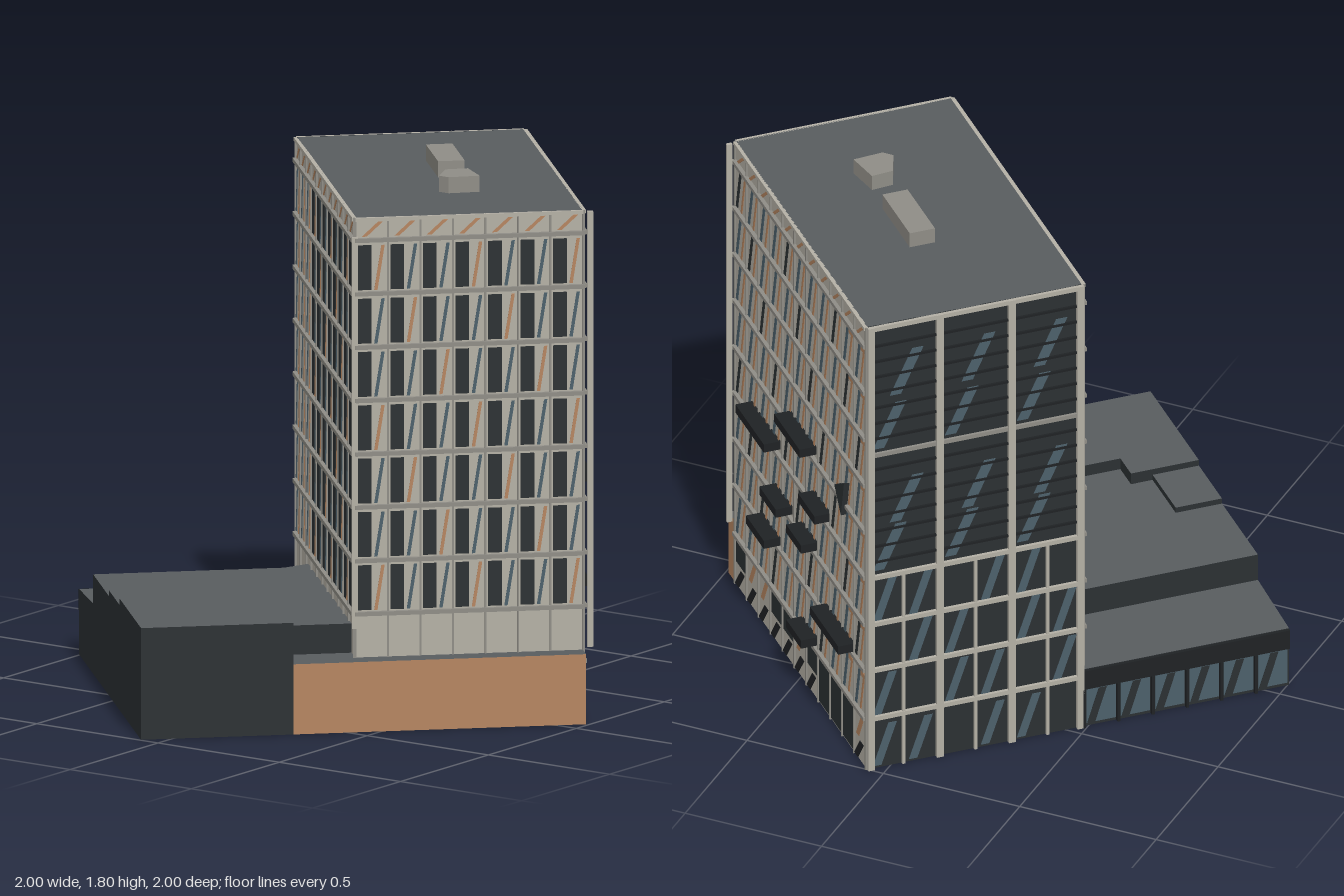
import * as THREE from 'three';
import { mergeGeometries } from 'three/addons/utils/BufferGeometryUtils.js';

const mat = (color) => new THREE.MeshStandardMaterial({ color, side: THREE.DoubleSide });
const M = {
  stone: mat(0xb4b0a5), ledge: mat(0x8f8d86), dark: mat(0x2b3032), black: mat(0x1f2224),
  glass: mat(0x4c606b), wood: mat(0xb58560), roof: mat(0x585c5f),
};
const W = 1.245, D = 0.77, TOP = 1.745;
const FLOORS = [0.39, 0.572, 0.755, 0.937, 1.12, 1.302, 1.485, 1.668];

// Collects pieces by material, one merged mesh for each
class Part {
  constructor(name) { this.group = new THREE.Group(); this.group.name = name; this.bins = {}; }
  add(m, geo) {
    const g = geo.index ? geo.toNonIndexed() : geo;
    (this.bins[m] ??= []).push(g);
  }
  // Block given by its ranges
  box(m, x0, x1, y0, y1, z0, z1) {
    this.add(m, new THREE.BoxGeometry(x1 - x0, y1 - y0, z1 - z0)
      .translate((x0 + x1) / 2, (y0 + y1) / 2, (z0 + z1) / 2));
  }
  // Thin flat panel with any outline, lying on the facade
  panel(m, pts, z = 0.003, t = 0.002) {
    const s = new THREE.Shape(pts.map(([x, y]) => new THREE.Vector2(x, y)));
    this.add(m, new THREE.ExtrudeGeometry(s, { depth: t, bevelEnabled: false }).translate(0, 0, z));
  }
  // Leaning strip, foot at x0 and head at x1
  slant(m, x0, x1, y0, y1, w, z) {
    this.panel(m, [[x0, y0], [x0 + w, y0], [x1 + w, y1], [x1, y1]], z);
  }
  finish() {
    for (const [m, list] of Object.entries(this.bins)) {
      const mesh = new THREE.Mesh(mergeGeometries(list), M[m]);
      mesh.name = `${this.group.name} ${m}`;
      this.group.add(mesh);
    }
    return this.group;
  }
}

// Walls and roof over a footprint, open below
function shell(name, pts, y0, y1, wall, lid = 'roof') {
  const s = new THREE.Shape(pts.map(([u, v]) => new THREE.Vector2(u, -v)));
  const g = new THREE.ExtrudeGeometry(s, { depth: y1 - y0, bevelEnabled: false })
    .rotateX(-Math.PI / 2).translate(0, y0, 0);
  const n = g.groups[0].count, total = g.attributes.position.count;
  const group = new THREE.Group();
  group.name = name;
  for (const [label, m, a, b] of [['roof', lid, n / 2, n], ['walls', wall, n, total]]) {
    const part = new THREE.BufferGeometry();
    for (const k of ['position', 'normal'])
      part.setAttribute(k, new THREE.BufferAttribute(g.attributes[k].array.slice(a * 3, b * 3), 3));
    const mesh = new THREE.Mesh(part, M[m]);
    mesh.name = `${name} ${label}`;
    group.add(mesh);
  }
  return group;
}
const rect = (u0, u1, v0, v1) => [[u0, v0], [u1, v0], [u1, v1], [u0, v1]];

// Stone wall with floor ledges, bay ribs and a band of slanted wood at the top
function stoneFacade(name, width, bays, base) {
  const p = new Part(name), b = width / bays;
  p.box('stone', 0, width, base, TOP, -0.004, 0);
  for (const y of FLOORS) p.box('ledge', 0, width, y - 0.007, y + 0.007, 0, 0.014);
  p.box('stone', 0, width, TOP - 0.012, TOP, 0, 0.01);
  for (let i = 0; i <= bays; i++)
    p.box('ledge', i * b - 0.003, i * b + 0.003, base, TOP, 0, 0.007);
  for (let i = 0; i < bays; i++)
    p.slant('wood', (i + 0.2) * b, (i + 0.7) * b, 1.68, 1.73, 0.016, 0.003);
  return p;
}

// Dark upright windows beside slanted strips; the first bays have strips only
function windowFacade(name, width, bays, plainBays) {
  const p = stoneFacade(name, width, bays, 0.24), b = width / bays;
  FLOORS.slice(0, -1).forEach((y, f) => {
    for (let i = 0; i < bays; i++) {
      const x = i * b, y0 = y + 0.012, y1 = y + 0.165;
      if (i >= plainBays) {
        p.box('dark', x + 0.08 * b, x + 0.5 * b, y0, y1, 0, 0.004);
        p.slant((i + f) % 3 ? 'glass' : 'wood', x + 0.58 * b, x + 0.8 * b, y0, y1, 0.011, 0.003);
      } else {
        p.slant('glass', x + 0.1 * b, x + 0.32 * b, y0, y1, 0.012, 0.003);
        p.slant('wood', x + 0.55 * b, x + 0.77 * b, y0, y1, 0.009, 0.003);
      }
    }
  });
  return p;
}

// Balcony side: slanted strips, street level windows and hanging boxes
function balconyFacade() {
  const bays = 11, b = W / bays, p = stoneFacade('balconyFacade', W, bays, 0);
  p.box('ledge', 0, W, 0.193, 0.207, 0, 0.014);
  [0.2, ...FLOORS.slice(0, -1)].forEach((y, f) => {
    for (let i = 0; i < bays; i++) {
      const x = i * b, y0 = y + 0.014, y1 = y + 0.165;
      p.slant((i + f) % 4 === 3 ? 'dark' : 'glass', x + 0.1 * b, x + 0.4 * b, y0, y1, 0.018, 0.003);
      p.slant('wood', x + 0.5 * b, x + 0.8 * b, y0, y1, 0.013, 0.003);
      if (i > 8) p.box('wood', x + 0.55 * b, x + 0.95 * b, y1 - 0.02, y1, 0, 0.004);
    }
  });
  for (let i = 0; i < bays; i++) {
    const x = i * b;
    if (i >= 7 && i < 10) p.box('dark', x + 0.08 * b, x + 0.9 * b, 0.01, 0.185, 0, 0.004);
    else {
      if (i % 3 === 0 || i === 4) p.box('dark', x + 0.1 * b, x + 0.85 * b, 0.095, 0.185, 0, 0.004);
      else p.slant('wood', x + 0.2 * b, x + 0.6 * b, 0.095, 0.185, 0.025, 0.003);
      p.slant('black', x + 0.08 * b, x + 0.55 * b, 0.01, 0.085, 0.035, 0.005);
    }
  }
  const along = (z) => (-0.12 - z) * Math.SQRT2;
  const boxes = [[-0.49, -0.66, 0.975], [-0.23, -0.42, 0.795], [-0.65, -0.76, 0.795], [-0.39, -0.5, 0.605],
    [-0.57, -0.67, 0.605], [-0.3, -0.42, 0.415], [-0.73, -0.92, 0.415], [-0.57, -0.67, 0.23]];
  for (const [a, c, y] of boxes) p.box('black', along(a), along(c), y - 0.016, y + 0.016, 0, 0.06);
  p.panel('dark', [[along(-0.825), 0.985], [along(-0.87), 0.9], [along(-0.89), 1.04]], 0.004, 0.02);
  return p;
}

// Glazed side: three tall bays above, a finer braced grid below
function glazedFacade() {
  const p = new Part('glazedFacade'), bay = D / 3;
  p.box('dark', 0, D, 0, TOP, -0.004, 0);
  for (let i = 0; i <= 3; i++) {
    const x = Math.min(Math.max(i * bay, 0.012), D - 0.012);
    p.box('stone', x - 0.012, x + 0.012, 0, TOP, 0, 0.014);
  }
  for (let i = 0; i < 3; i++) p.box('stone', (i + 0.5) * bay - 0.005, (i + 0.5) * bay + 0.005, 0, 0.755, 0, 0.01);
  for (const y of [0.2, 0.39, 0.572, 0.755, TOP - 0.008])
    p.box('stone', 0, D, y - 0.008, y + 0.008, 0, 0.012);
  p.box('ledge', 0, D, 1.23, 1.245, 0, 0.01);
  for (let y = 0.815; y < 1.72; y += 0.0608) p.box('black', 0, D, y - 0.004, y + 0.004, 0, 0.008);
  // Pale slanting panes
  const rows = [0.01, 0.21, 0.4, 0.582];
  for (let i = 0; i < 6; i++) rows.forEach((y, r) => {
    const x = i * bay / 2;
    if ((i + r) % 3 !== 2) p.slant('glass', x + 0.02, x + 0.075, y, y + 0.16, 0.03, 0.002);
  });
  for (let i = 0; i < 3; i++) for (const [y, k] of [[0.78, 0.02], [0.96, 0.08], [1.26, 0.02], [1.46, 0.08]])
    p.slant('glass', i * bay + k, i * bay + k + 0.08, y, y + 0.17, 0.04, 0.002);
  return p;
}

// Glazed street front of the low wing
function wingGlazing() {
  const p = new Part('wingGlazing'), w = 0.735, n = 6, b = w / n;
  p.box('black', 0, w, 0.15, 0.222, 0, 0.012);
  for (let i = 0; i < n; i++) {
    p.box('glass', i * b + 0.012, (i + 1) * b - 0.006, 0.012, 0.145, 0, 0.003);
    p.slant('dark', i * b + 0.014, i * b + 0.055, 0.014, 0.143, 0.028, 0.004);
    p.box('black', i * b - 0.004, i * b + 0.006, 0, 0.15, 0, 0.014);
  }
  return p;
}

export function createModel() {
  const model = new THREE.Group();
  model.name = 'building';
  // The plan stands diagonally: local x and z follow the walls
  const plan = new THREE.Group();
  plan.name = 'plan';
  plan.position.set(0.06, 0, -1);
  plan.rotation.y = -Math.PI / 4;
  model.add(plan);
  const place = (part, u, v, turn) => {
    const g = part.finish();
    g.position.set(u, 0, v);
    g.rotation.y = turn;
    plan.add(g);
  };

  // Tower walls
  place(windowFacade('longWindowFacade', W, 11, 3), 0, D, 0);
  place(windowFacade('shortWindowFacade', D, 7, 0), W, D, Math.PI / 2);
  place(balconyFacade(), W, 0, Math.PI);
  place(glazedFacade(), 0, 0, -Math.PI / 2);

  // Tower roof, corner strips and rooftop plant
  plan.add(shell('towerRoof', rect(0, W, 0, D), 1.735, TOP, 'stone'));
  const strips = new Part('cornerStrips');
  strips.box('stone', W, W + 0.012, 0.34, 1.68, D - 0.008, D + 0.012);
  strips.box('stone', W - 0.006, W + 0.006, 0.25, 1.74, -0.034, -0.014);
  for (const y of FLOORS) strips.box('ledge', W - 0.004, W + 0.004, y - 0.006, y + 0.006, -0.016, 0);
  place(strips, 0, 0, 0);
  plan.add(shell('roofPlantLong', rect(0.42, 0.68, 0.31, 0.4), TOP, 1.8, 'ledge', 'ledge'));
  plan.add(shell('roofPlantAngled',
    [[0.806, 0.396], [0.8, 0.318], [0.919, 0.297], [0.926, 0.403], [0.898, 0.431]], TOP, 1.8, 'ledge', 'ledge'));

  // Low wing: wood clad base, terrace, main hall and raised roof steps
  const U = 1.315, V = 1.505;
  plan.add(shell('woodBase',
    [[W, 0], [U, 0], [U, 0.99], [1.17, 0.99], [1.17, D], [W, D]], 0, 0.24, 'wood'));
  const terrace = shell('terrace', [[0, D], [0.25, D], [0.295, 0.86], [0.295, V], [0, V]], 0, 0.24, 'dark');
  // Terrace roof falls slightly to the street
  terrace.children.forEach(({ geometry }) => {
    const pos = geometry.attributes.position;
    for (let i = 0; i < pos.count; i++)
      if (pos.getY(i) > 0.1) pos.setY(i, 0.224 + 0.055 * pos.getX(i));
  });
  plan.add(terrace);
  plan.add(shell('hall', [[0.25, D], [1.17, D], [1.17, 0.99], [U, 0.99], [U, V], [0.295, V], [0.295, 0.86]],
    0, 0.34, 'dark'));
  plan.add(shell('lowRoofStep', rect(0.636, 0.856, 1.34, V), 0.34, 0.36, 'dark'));
  plan.add(shell('highRoofStep',
    [[0.856, 1.263], [0.957, 1.263], [0.957, 1], [U, 0.99], [U, V], [0.856, V]], 0.34, 0.382, 'dark'));
  place(wingGlazing(), 0, D, -Math.PI / 2);
  return model;
}
